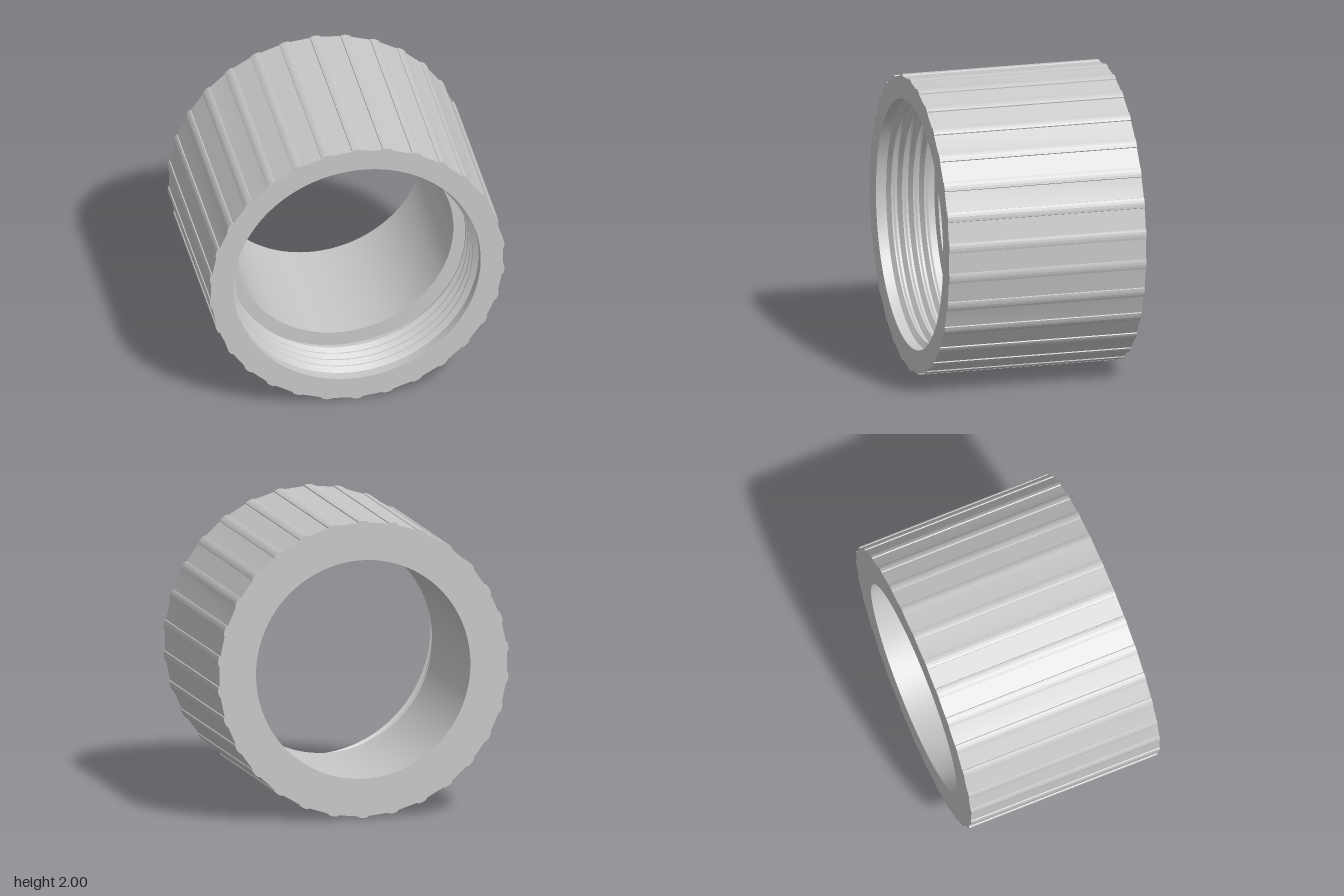
import * as THREE from 'three';
import { toCreasedNormals } from 'three/addons/utils/BufferGeometryUtils.js';

const HALF = 0.675;    // half the sleeve length
const BORE = 0.735;    // through hole
const ROOT = 0.835;    // widened, threaded mouth
const CREST = 0.80;    // inner edge of the thread
const SHELF_Z = 0.275; // step between mouth and through hole
const RIBS = 30;

// Outer outline: low stepped ribs with flats between them
function outline() {
  const rib = [[-2, 0.988], [-1.9, 0.995], [-1, 0.9985], [0, 1], [1, 0.9985], [1.9, 0.995], [2, 0.988]];
  const pts = [];
  for (let i = 0; i < RIBS; i++) {
    for (const [deg, r] of rib) {
      const a = THREE.MathUtils.degToRad(6 + i * 360 / RIBS + deg);
      pts.push(new THREE.Vector2(r * Math.cos(a), r * Math.sin(a)));
    }
  }
  return pts;
}

// Long wall that follows the outline
function wallGeometry(pts) {
  const pos = [];
  pts.forEach((p, i) => {
    const q = pts[(i + 1) % pts.length];
    pos.push(p.x, p.y, -HALF, q.x, q.y, -HALF, q.x, q.y, HALF);
    pos.push(p.x, p.y, -HALF, q.x, q.y, HALF, p.x, p.y, HALF);
  });
  const g = new THREE.BufferGeometry();
  g.setAttribute('position', new THREE.Float32BufferAttribute(pos, 3));
  return toCreasedNormals(g, 0.15);
}

// Flat end with a round hole
function endGeometry(pts, hole) {
  const shape = new THREE.Shape(pts);
  shape.holes.push(new THREE.Path().absarc(0, 0, hole, 0, Math.PI * 2, true));
  return new THREE.ShapeGeometry(shape, 64);
}

// Inner surface turned around the z axis, profile listed front to back
function turned(profile) {
  const g = new THREE.LatheGeometry(profile.map(([r, z]) => new THREE.Vector2(r, z)), 128);
  g.rotateX(Math.PI / 2);
  return toCreasedNormals(g, 0.3);
}

export function createModel() {
  const grey = new THREE.MeshStandardMaterial({ color: 0xc8c8c8 });
  grey.name = 'grey';
  const model = new THREE.Group();
  model.name = 'ribbedSleeve';
  const add = (name, geometry) => {
    const mesh = new THREE.Mesh(geometry, grey);
    mesh.name = name;
    model.add(mesh);
    return mesh;
  };

  const pts = outline();
  add('ribbedWall', wallGeometry(pts));
  add('frontEnd', endGeometry(pts, ROOT)).position.z = HALF;
  const back = add('backEnd', endGeometry(pts, BORE));
  back.rotation.y = Math.PI;
  back.position.z = -HALF;

  // Threaded mouth: four ridges behind a plain lip
  const thread = [[ROOT, HALF]];
  const pitch = 0.075;
  for (let i = 0; i < 4; i++) {
    const z = HALF - 0.07 - i * pitch;
    thread.push([ROOT, z], [CREST, z - 0.025], [CREST, z - 0.035], [ROOT, z - 0.06]);
  }
  thread.push([ROOT, SHELF_Z]);
  add('threadedMouth', turned(thread));
  add('innerShelf', turned([[ROOT, SHELF_Z], [BORE, SHELF_Z]]));
  add('throughBore', turned([[BORE, SHELF_Z], [BORE, -HALF]]));

  model.position.y = 1;
  const root = new THREE.Group();
  root.name = 'sleeve';
  root.add(model);
  return root;
}
